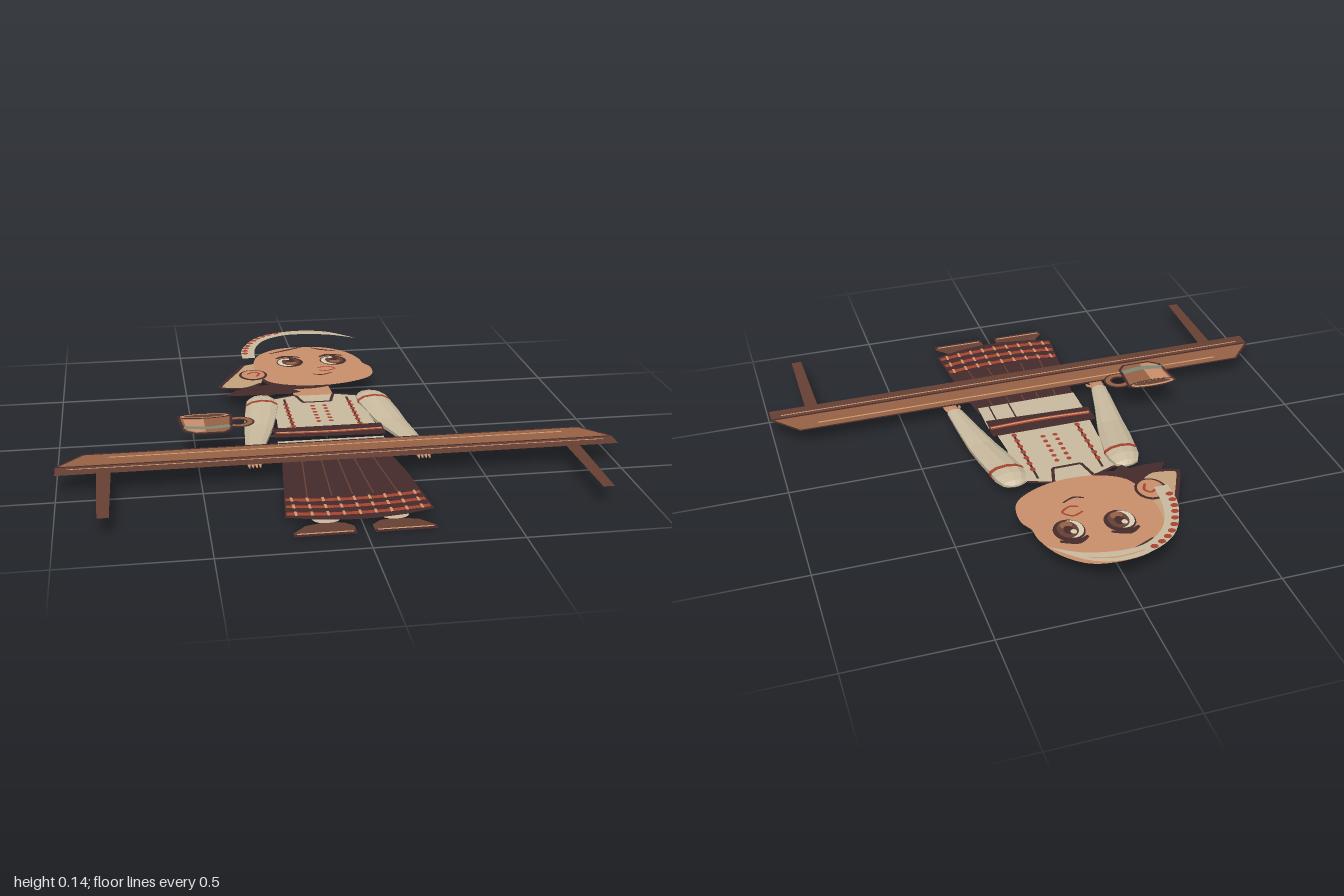
import * as THREE from 'three';

const mat = (name, color) => new THREE.MeshStandardMaterial({ name, color, side: THREE.DoubleSide });
const M = {
  dark: mat('dark maroon', 0x452a2b),
  cream: mat('linen cream', 0xc9bb9f),
  pale: mat('pale linen', 0xd9cfb6),
  skin: mat('skin', 0xca906c),
  tan: mat('tan scarf', 0xc6a27c),
  wood: mat('wood', 0x976245),
  woodDark: mat('dark wood', 0x663f33),
  red: mat('embroidery red', 0xa8432f),
  light: mat('light edge', 0xcf9a70),
  teal: mat('glaze green', 0x7c8a78),
};

const V = (p) => p.map(([x, z]) => new THREE.Vector2(x, -z));
const mirror = (p, s) => p.map(([x, z]) => [x * s, z]);

export function createModel() {
  const root = new THREE.Group();
  let parent = root;
  const group = (name) => {
    parent = new THREE.Group();
    parent.name = name;
    root.add(parent);
  };
  const add = (name, geo, material) => {
    const m = new THREE.Mesh(geo, material);
    m.name = name;
    parent.add(m);
    return m;
  };
  // flat sheet lying at height y, facing up
  const sheet = (name, pts2, y, material) => {
    const g = new THREE.ShapeGeometry(new THREE.Shape(pts2));
    g.rotateX(-Math.PI / 2).translate(0, y, 0);
    return add(name, g, material);
  };
  const plate = (name, p, y, material) => sheet(name, V(p), y, material);
  // smooth closed outline
  const blob = (name, p, y, material, n = 60) => {
    const c = new THREE.CatmullRomCurve3(p.map(([x, z]) => new THREE.Vector3(x, -z, 0)), true);
    return sheet(name, c.getPoints(n).slice(0, -1).map((v) => new THREE.Vector2(v.x, v.y)), y, material);
  };
  const oval = (name, x, z, rx, rz, y, material, n = 24) => {
    const g = new THREE.CircleGeometry(1, n);
    g.scale(rx, rz, 1).rotateX(-Math.PI / 2).translate(x, y, z);
    return add(name, g, material);
  };
  // brush stroke along a smooth line; taper 1 gives pointed ends
  const stroke = (name, p, w, y, material, taper = 0) => {
    const c = new THREE.SplineCurve(V(p));
    const n = p.length > 2 ? 8 * p.length : 2, a = [], b = [];
    for (let i = 0; i <= n; i++) {
      const t = i / n, q = c.getPoint(t), d = c.getTangent(t);
      const h = (w / 2) * (1 - taper * 0.9 * Math.abs(2 * t - 1));
      a.push(new THREE.Vector2(q.x - d.y * h, q.y + d.x * h));
      b.unshift(new THREE.Vector2(q.x + d.y * h, q.y - d.x * h));
    }
    return sheet(name, a.concat(b), y, material);
  };
  const closed = (p) => [...p, p[0]];
  const edges = (name, p, w, y, material) => {
    for (let i = 0; i + 1 < p.length; i++) stroke(name, [p[i], p[i + 1]], w, y, material);
  };
  // faceted limb from elliptical sections [x, y, z, rx, ry]
  const limb = (name, s, material, sides = 10) => {
    const g = new THREE.CylinderGeometry(1, 1, 1, sides, s.length - 1);
    const pos = g.attributes.position, uv = g.attributes.uv;
    for (let i = 0; i < pos.count; i++) {
      const row = Math.round((0.5 - pos.getY(i)) * (s.length - 1)), [x, y, z, rx, ry] = s[row];
      pos.setXYZ(i, x + pos.getX(i) * rx, y + pos.getZ(i) * ry, z);
    }
    const f = g.toNonIndexed();
    f.computeVertexNormals();
    return add(name, f, material);
  };

  // legs and shoes, lowest layer
  for (const s of [1, -1]) {
    group(s > 0 ? 'leftLeg' : 'rightLeg');
    const shoe = mirror([[0.03, 0.875], [0.03, 0.83], [0.06, 0.8], [0.12, 0.79], [0.19, 0.81], [0.235, 0.86], [0.235, 0.885]], s);
    plate('shoe', shoe, 0.002, M.woodDark);
    plate('shoeSole', mirror([[0.03, 0.87], [0.237, 0.87], [0.235, 0.89], [0.03, 0.89]], s), 0.003, M.dark);
    stroke('shoeTrim', [[s * 0.04, 0.872], [s * 0.225, 0.872]], 0.008, 0.004, M.light);
    blob('calf', mirror([[0.06, 0.56], [0.16, 0.56], [0.175, 0.68], [0.15, 0.8], [0.08, 0.8], [0.05, 0.68]], s), 0.008, M.cream);
    blob('thigh', mirror([[0.04, 0.24], [0.16, 0.24], [0.185, 0.38], [0.17, 0.56], [0.06, 0.57], [0.025, 0.4]], s), 0.013, M.cream);
  }

  // skirt with embroidered hem
  group('skirt');
  plate('skirtPanel', [[-0.2, 0.28], [0.2, 0.28], [0.225, 0.45], [0.25, 0.77], [0.15, 0.8], [0.05, 0.815], [-0.05, 0.815], [-0.15, 0.8], [-0.25, 0.77]], 0.018, M.dark);
  for (const k of [-0.65, -0.3, 0, 0.3, 0.65]) stroke('pleat', [[k * 0.2, 0.3], [k * 0.24, 0.62]], 0.005, 0.0195, M.woodDark);
  [0.632, 0.688, 0.745].forEach((z, r) => {
    const w = 0.232 + r * 0.005;
    stroke('hemStripe', [[-w, z], [-w / 2, z + 0.018], [0, z + 0.023], [w / 2, z + 0.018], [w, z]], 0.022, 0.0195, M.red);
    for (let i = -4; i <= 4; i++) {
      const x = i * 0.053, bz = z + 0.022 - 0.022 * (x / w) ** 2;
      stroke('hemStitch', [[x, bz - 0.017], [x, bz + 0.017]], 0.009, 0.021, M.light);
    }
  });

  // shirt, hip panel and sash
  group('torso');
  plate('hipPanel', [[-0.2, 0.14], [0.2, 0.14], [0.2, 0.3], [-0.2, 0.3]], 0.034, M.cream);
  for (const x of [0.075, 0.155]) stroke('hipSeam', [[x, 0.18], [x, 0.3]], 0.006, 0.0355, M.dark);
  const shirt = [[-0.09, -0.3], [0.09, -0.3], [0.17, -0.27], [0.2, -0.2], [0.18, -0.05], [0.19, 0.1], [-0.19, 0.1], [-0.18, -0.05], [-0.2, -0.2], [-0.17, -0.27]];
  plate('shirt', shirt, 0.05, M.cream);
  edges('shirtEdge', [shirt[9], shirt[0], [-0.075, -0.3], [-0.055, -0.215], [0.055, -0.215], [0.078, -0.3], shirt[1], shirt[2]], 0.012, 0.0525, M.dark);
  for (const s of [1, -1]) {
    stroke('sideSeam', [[s * 0.125, -0.26], [s * 0.128, 0.05]], 0.009, 0.0515, M.dark);
    for (let i = 0; i < 7; i++) oval('seamBead', s * 0.127, -0.2 + i * 0.04, 0.011, 0.013, 0.053, M.red, 10);
    for (let i = 0; i < 6; i++) oval('frontBead', s * 0.024, -0.17 + i * 0.034, 0.01, 0.01, 0.053, M.red, 8);
  }
  plate('sash', [[-0.21, 0.055], [0.207, 0.055], [0.203, 0.17], [0, 0.16], [-0.21, 0.15]], 0.054, M.dark);
  stroke('sashStripe', [[-0.2, 0.108], [0, 0.118], [0.2, 0.112]], 0.022, 0.0555, M.red);
  stroke('sashThread', [[-0.2, 0.108], [0, 0.118], [0.2, 0.112]], 0.008, 0.057, M.light);

  // sleeves and hands
  for (const s of [1, -1]) {
    group(s > 0 ? 'leftArm' : 'rightArm');
    const sec = [
      [0.215, 0.055, -0.285, 0.015, 0.004], [0.217, 0.055, -0.27, 0.045, 0.017], [0.22, 0.055, -0.23, 0.061, 0.026],
      [0.223, 0.053, -0.18, 0.065, 0.027], [0.24, 0.046, -0.08, 0.063, 0.024], [0.257, 0.038, 0.02, 0.056, 0.022],
      [0.28, 0.042, 0.15, 0.043, 0.018], [0.3, 0.047, 0.28, 0.031, 0.015], [0.302, 0.047, 0.29, 0.015, 0.008],
    ].map(([x, ...r]) => [x * s, ...r]);
    limb('sleeve', sec, M.cream);
    limb('sleeveBand', [[s * 0.2225, 0.0533, -0.192, 0.0665, 0.0278], [s * 0.2245, 0.0525, -0.176, 0.0665, 0.0278]], M.red);
    limb('hand', [[0.301, 0.047, 0.275, 0.02, 0.01], [0.305, 0.045, 0.305, 0.027, 0.011], [0.306, 0.042, 0.33, 0.027, 0.01], [0.307, 0.04, 0.345, 0.012, 0.005]].map(([x, ...r]) => [x * s, ...r]), M.skin, 8);
    for (let i = 0; i < 4; i++) {
      const x = s * (0.287 + i * 0.013);
      limb('finger', [[x, 0.043, 0.32, 0.006, 0.006], [x, 0.038, 0.35, 0.007, 0.006], [x, 0.033, 0.37, 0.003, 0.003]], M.skin, 6);
    }
    limb('thumb', [[s * 0.285, 0.045, 0.295, 0.007, 0.006], [s * 0.27, 0.04, 0.32, 0.007, 0.006], [s * 0.268, 0.036, 0.34, 0.003, 0.003]], M.skin, 6);
  }

  // neck, hair, scarf and head
  group('head');
  plate('neck', [[-0.075, -0.45], [0.075, -0.45], [0.08, -0.29], [-0.08, -0.29]], 0.047, M.skin);
  blob('hairBack', [[-0.18, -0.62], [-0.12, -0.74], [0, -0.79], [0.13, -0.75], [0.19, -0.62], [0.17, -0.46], [0.05, -0.37], [-0.1, -0.37], [-0.18, -0.45]], 0.058, M.dark);
  plate('hairTail', [[-0.35, -0.31], [-0.31, -0.37], [-0.24, -0.42], [-0.12, -0.42], [-0.05, -0.32], [-0.1, -0.3], [-0.15, -0.31], [-0.19, -0.28], [-0.21, -0.31], [-0.26, -0.305]], 0.06, M.dark);
  const flap = [[-0.25, -0.66], [-0.29, -0.57], [-0.36, -0.42], [-0.36, -0.385], [-0.27, -0.37], [-0.2, -0.42], [-0.17, -0.55], [-0.2, -0.68]];
  plate('scarfFlap', flap, 0.067, M.tan);
  stroke('scarfEdge', flap.slice(0, 6), 0.015, 0.069, M.dark);
  blob('face', [[0, -0.84], [0.12, -0.82], [0.205, -0.74], [0.245, -0.64], [0.25, -0.585], [0.273, -0.53], [0.255, -0.42], [0.16, -0.355], [0.04, -0.332], [-0.08, -0.348], [-0.165, -0.4], [-0.2, -0.5], [-0.21, -0.62], [-0.18, -0.74], [-0.1, -0.82]], 0.08, M.skin, 90);
  oval('earOutline', -0.225, -0.487, 0.058, 0.066, 0.083, M.dark);
  oval('ear', -0.225, -0.487, 0.048, 0.056, 0.085, M.skin);
  stroke('earFold', [[-0.25, -0.49], [-0.22, -0.51], [-0.2, -0.49], [-0.215, -0.455]], 0.01, 0.087, M.red);

  // face features
  for (const [x, s] of [[-0.055, -1], [0.13, 1]]) {
    oval('eyeRim', x, -0.63, 0.056, 0.062, 0.083, M.dark);
    oval('eyeWhite', x - 0.012, -0.627, 0.04, 0.05, 0.0845, M.pale);
    oval('iris', x + 0.004, -0.627, 0.037, 0.047, 0.086, M.woodDark);
    oval('irisGlow', x + 0.004, -0.605, 0.022, 0.02, 0.0875, M.wood, 16);
    oval('pupil', x + 0.003, -0.635, 0.018, 0.024, 0.089, M.dark, 16);
    oval('glint', x - 0.01, -0.65, 0.011, 0.013, 0.0905, M.pale, 12);
    stroke('upperLid', [[x - 0.052, -0.68], [x - 0.01, -0.702], [x + 0.05, -0.683]], 0.024, 0.085, M.dark, 0.6);
    stroke('eyebrow', s < 0 ? [[-0.13, -0.755], [-0.05, -0.795], [0.03, -0.835]] : [[0.06, -0.815], [0.1, -0.785], [0.16, -0.755]], 0.014, 0.083, M.dark, 0.7);
  }
  stroke('nose', [[0.05, -0.54], [0.09, -0.555], [0.12, -0.525], [0.085, -0.5], [0.055, -0.51]], 0.008, 0.083, M.red);
  stroke('mouth', [[0.02, -0.465], [0.055, -0.452], [0.1, -0.472]], 0.009, 0.083, M.dark, 0.4);

  // beaded headband floating above the hair
  group('headband');
  const band = new THREE.SplineCurve(V([[-0.262, -0.55], [-0.25, -0.68], [-0.17, -0.83], [-0.02, -0.9], [0.13, -0.875], [0.25, -0.76]]));
  const inner = new THREE.SplineCurve(V([[0.25, -0.76], [0.13, -0.83], [-0.03, -0.85], [-0.14, -0.79], [-0.195, -0.68], [-0.21, -0.55]]));
  sheet('band', [...band.getPoints(30), ...inner.getPoints(30).slice(1)], 0.136, M.cream);
  stroke('bandHighlight', [[-0.05, -0.875], [0.05, -0.882], [0.14, -0.855]], 0.008, 0.138, M.light, 0.5);
  for (let i = 0; i < 10; i++) {
    const t = 0.1 + i * 0.046, a = band.getPoint(t), b = inner.getPoint(1 - t);
    oval('bandBead', a.x * 0.72 + b.x * 0.28, -(a.y * 0.72 + b.y * 0.28), 0.014, 0.012, 0.139, M.red, 10);
  }

  // table
  group('table');
  for (const s of [1, -1]) plate('tableLeg', mirror([[0.81, 0.44], [0.86, 0.44], [0.857, 0.81], [0.818, 0.81]], s), 0.076, M.woodDark);
  const top = [[-0.905, 0.28], [0.905, 0.28], [1, 0.385], [-1, 0.385]];
  plate('tableTop', top, 0.08, M.wood);
  plate('tableFront', [[-1, 0.385], [1, 0.385], [1, 0.452], [-1, 0.452]], 0.08, M.woodDark);
  edges('tableOutline', closed(top), 0.009, 0.082, M.dark);
  stroke('topHighlight', [[-0.82, 0.316], [0.83, 0.316]], 0.008, 0.082, M.light);
  stroke('frontHighlight', [[-0.96, 0.408], [0.96, 0.408]], 0.006, 0.082, M.light);

  // mug
  group('mug');
  const ring = Array.from({ length: 14 }, (_, i) => {
    const a = -2.2 + (i / 13) * 4.4;
    return [-0.345 + 0.042 * Math.cos(a), 0.175 + 0.038 * Math.sin(a)];
  });
  stroke('handleOutline', ring, 0.032, 0.134, M.dark);
  stroke('handle', ring, 0.018, 0.1355, M.wood);
  plate('mugOutline', [[-0.567, 0.11], [-0.363, 0.11], [-0.373, 0.25], [-0.4, 0.28], [-0.51, 0.28], [-0.55, 0.25]], 0.136, M.dark);
  plate('mugBody', [[-0.555, 0.115], [-0.373, 0.115], [-0.383, 0.245], [-0.405, 0.27], [-0.505, 0.27], [-0.54, 0.245]], 0.1375, M.wood);
  plate('mugLight', [[-0.545, 0.13], [-0.47, 0.14], [-0.47, 0.265], [-0.505, 0.265], [-0.535, 0.24]], 0.1385, M.skin);
  stroke('mugGlaze', [[-0.545, 0.215], [-0.46, 0.232], [-0.38, 0.218]], 0.026, 0.1395, M.teal);
  oval('mugRim', -0.465, 0.11, 0.101, 0.027, 0.1395, M.dark);
  oval('mugLip', -0.465, 0.11, 0.09, 0.02, 0.1405, M.light);
  oval('mugInside', -0.465, 0.113, 0.078, 0.014, 0.1415, M.woodDark);
  return root;
}
